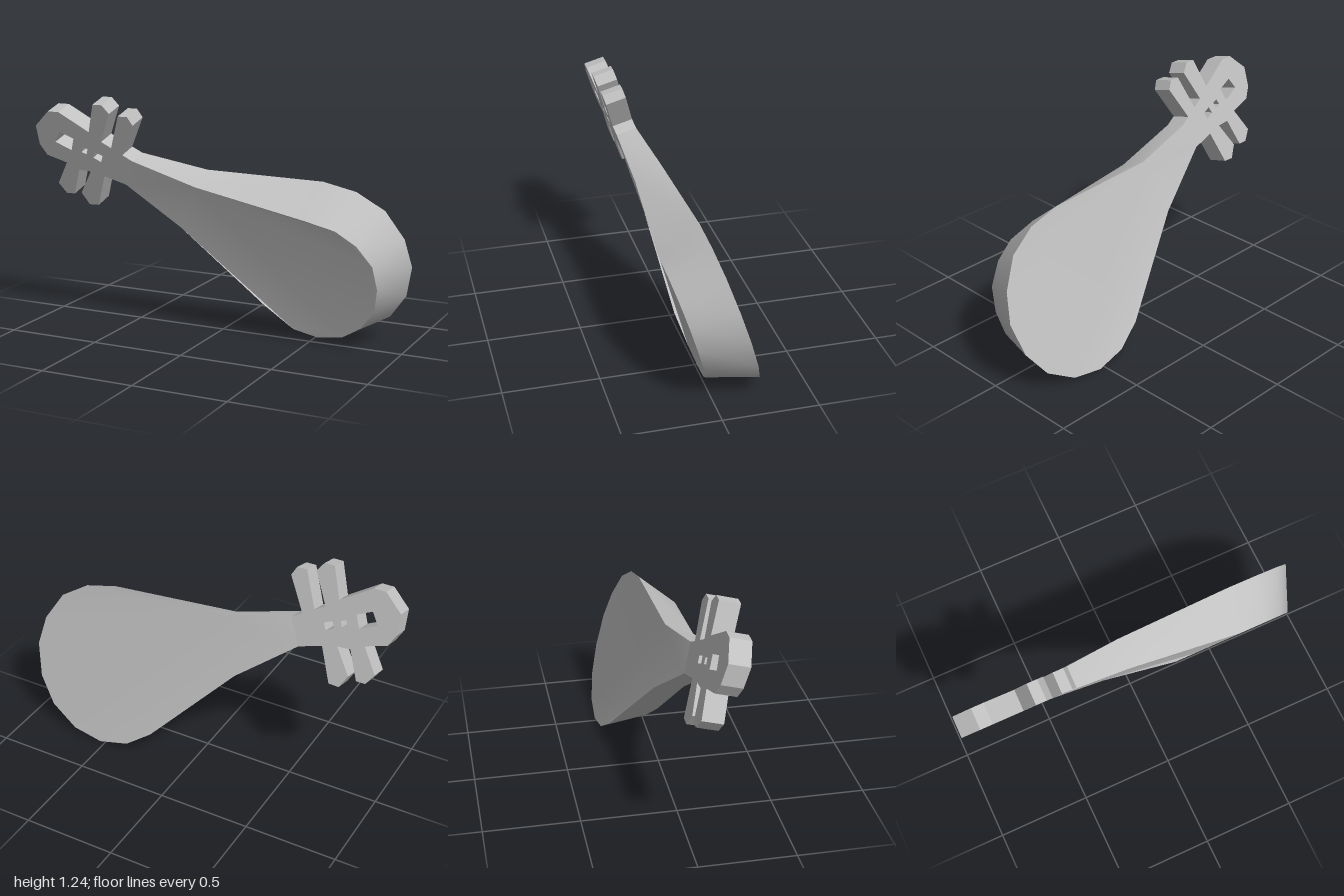
import * as THREE from 'three';
import { toCreasedNormals } from 'three/addons/utils/BufferGeometryUtils.js';

const toPoints = (list) => list.map(([x, y]) => new THREE.Vector2(x, y));

// Leaning planes on which the parts lie
const headFrontZ = (y) => 0.17 + 0.315 * (y - 0.87);
const bodyFrontZ = (y) => 0.303 * (y - 0.03);
const bodyBackZ = (y) => -0.272 + 0.317 * y;
const HEAD_DEPTH = 0.108, HEAD_RISE = 0.03;

// Sounding body and neck: a wall lofted between a front and a larger back outline
function createBody(material) {
  const group = new THREE.Group();
  group.name = 'body';
  // outlines run counter-clockwise from the lower neck end to the upper neck end
  const front = [
    [-0.505, 0.773, headFrontZ(0.773)], [-0.2, 0.56, 0.095],
    [0.26, 0.18], [0.41, 0.06], [0.54, 0.03], [0.68, 0.05], [0.79, 0.12], [0.87, 0.225],
    [0.895, 0.35], [0.88, 0.475], [0.805, 0.58], [0.7, 0.65], [0.54, 0.69],
    [-0.08, 0.8, 0.168], [-0.44, 0.91, headFrontZ(0.91)],
  ].map(([x, y, z = bodyFrontZ(y)]) => [x, y, z]);
  const back = [
    [-0.505, 0.803, headFrontZ(0.773) - HEAD_DEPTH], [-0.19, 0.565, -0.06],
    [0.23, 0.135], [0.365, 0.04], [0.53, 0.003], [0.7, 0.03], [0.855, 0.12], [0.955, 0.255],
    [0.998, 0.425], [0.97, 0.578], [0.88, 0.725], [0.735, 0.815], [0.56, 0.855],
    [-0.08, 0.868, 0.02], [-0.44, 0.94, headFrontZ(0.91) - HEAD_DEPTH],
  ].map(([x, y, z = bodyBackZ(y)]) => [x, y, z]);

  const addPart = (name, points, index) => {
    const geometry = new THREE.BufferGeometry();
    geometry.setAttribute('position', new THREE.Float32BufferAttribute(points.flat(), 3));
    geometry.setIndex(index);
    const mesh = new THREE.Mesh(toCreasedNormals(geometry, THREE.MathUtils.degToRad(32)), material);
    mesh.name = name;
    group.add(mesh);
  };
  const n = front.length;
  const wall = [];
  for (let i = 0; i < n - 1; i++) {
    wall.push(i, n + i, i + 1, i + 1, n + i, n + i + 1);
  }
  addPart('sideWall', [...front, ...back], wall);
  const cap = (outline) => THREE.ShapeUtils.triangulateShape(toPoints(outline), []);
  addPart('soundboard', front, cap(front).flat());
  addPart('backPlate', back, cap(back).flatMap(([a, b, c]) => [a, c, b]));
  return group;
}

// Head with four tuning pegs and three slots, sheared onto the leaning plane
function createHead(material) {
  const shape = new THREE.Shape(toPoints([
    [-1, 0.965], [-0.965, 0.905], [-0.85, 0.87],
    [-0.93, 0.745], [-0.89, 0.69], [-0.84, 0.69], [-0.78, 0.835], // lower outer peg
    [-0.71, 0.83],
    [-0.795, 0.7], [-0.757, 0.635], [-0.7, 0.637], [-0.63, 0.81], // lower inner peg
    [-0.505, 0.773], [-0.44, 0.91], [-0.495, 0.94],
    [-0.4, 1.11], [-0.425, 1.155], [-0.48, 1.155], [-0.555, 0.975], // upper inner peg
    [-0.61, 1.005],
    [-0.53, 1.165], [-0.565, 1.21], [-0.62, 1.21], [-0.675, 1.055], // upper outer peg
    [-0.84, 1.155], [-0.905, 1.155], [-1, 1.07],
  ]));
  const slots = [
    [[-0.858, 1.045], [-0.778, 1.01], [-0.805, 0.944], [-0.896, 0.985]],
    [[-0.73, 0.968], [-0.703, 0.957], [-0.715, 0.928], [-0.745, 0.938]],
    [[-0.66, 0.945], [-0.617, 0.925], [-0.634, 0.89], [-0.677, 0.912]],
  ];
  for (const slot of slots) shape.holes.push(new THREE.Path(toPoints(slot)));

  const geometry = new THREE.ExtrudeGeometry(shape, { depth: 1, bevelEnabled: false });
  const p = geometry.attributes.position;
  for (let i = 0; i < p.count; i++) {
    const y = p.getY(i), toBack = 1 - p.getZ(i);
    p.setY(i, y + HEAD_RISE * toBack);
    p.setZ(i, headFrontZ(y) - HEAD_DEPTH * toBack);
  }
  geometry.computeVertexNormals();
  const mesh = new THREE.Mesh(geometry, material);
  mesh.name = 'headAndPegs';
  return mesh;
}

export function createModel() {
  const material = new THREE.MeshStandardMaterial({ color: 0xc0c0c0 });
  material.name = 'light grey';
  const model = new THREE.Group();
  model.name = 'lute';
  model.add(createBody(material), createHead(material));
  return model;
}
